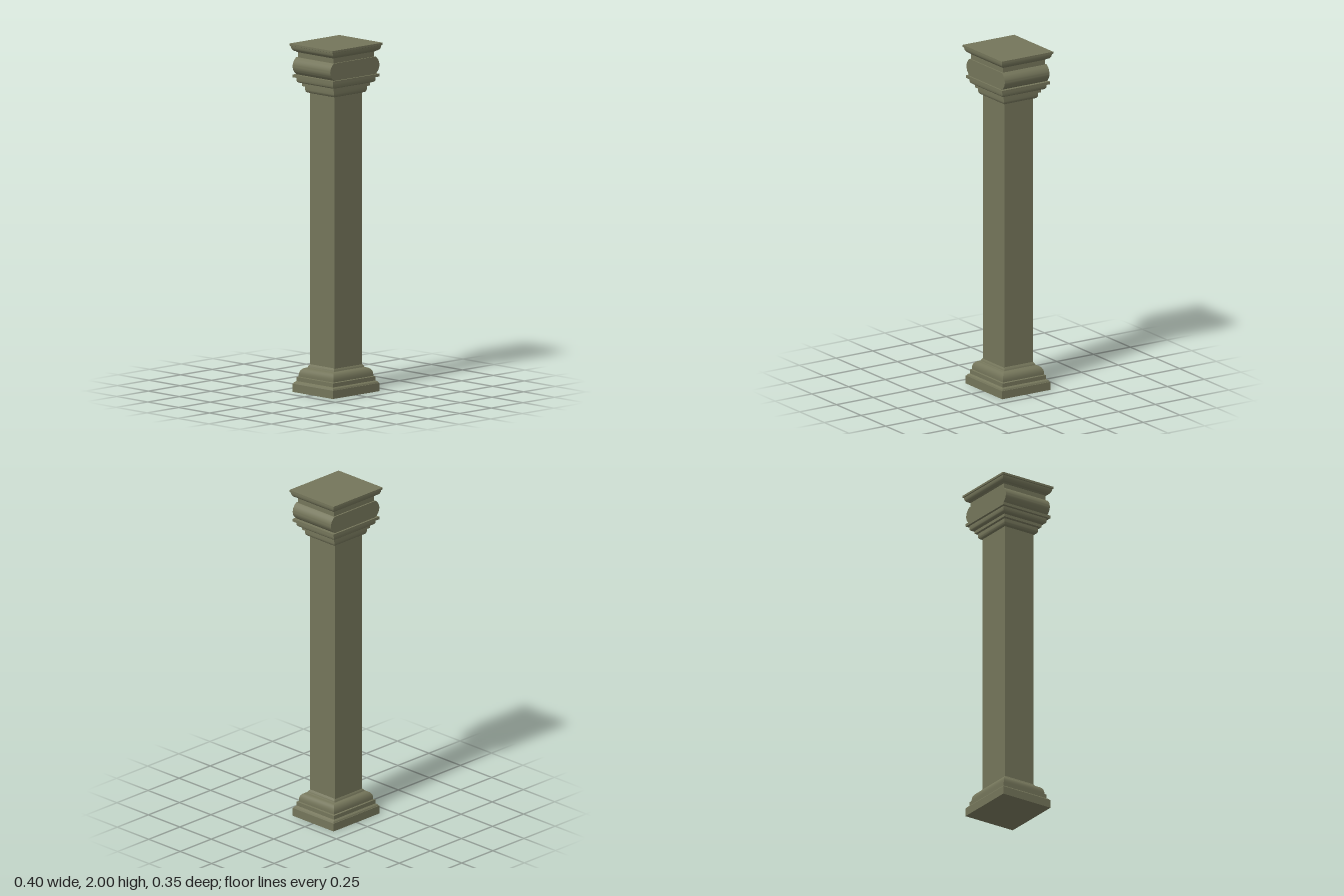
import * as THREE from 'three';
import { toCreasedNormals } from 'three/addons/utils/BufferGeometryUtils.js';

const DEPTH = 0.885; // depth of the mouldings relative to their width

// Rectangular moulding: stacks a rectangle along a profile of [half width, height]
function moulding(profile) {
  const pos = [], idx = [];
  for (const [w, y] of profile) {
    const d = w * DEPTH;
    pos.push(-w, y, d, w, y, d, w, y, -d, -w, y, -d);
  }
  for (let i = 0; i < profile.length - 1; i++) {
    for (let k = 0; k < 4; k++) {
      const a = i * 4 + k, b = i * 4 + (k + 1) % 4;
      idx.push(a, b, b + 4, a, b + 4, a + 4);
    }
  }
  const t = (profile.length - 1) * 4;
  idx.push(0, 2, 1, 0, 3, 2, t, t + 1, t + 2, t, t + 2, t + 3); // end caps
  const g = new THREE.BufferGeometry();
  g.setAttribute('position', new THREE.Float32BufferAttribute(pos, 3));
  g.setIndex(idx);
  return toCreasedNormals(g, 0.5);
}

// Points on a quarter ellipse between two profile points; bulge = convex
function curve([x0, y0], [x1, y1], bulge, n = 6) {
  return Array.from({ length: n + 1 }, (_, i) => {
    const a = (i / n) * Math.PI / 2, s = Math.sin(a), c = 1 - Math.cos(a);
    return bulge ? [x0 + (x1 - x0) * c, y0 + (y1 - y0) * s]
      : [x0 + (x1 - x0) * s, y0 + (y1 - y0) * c];
  });
}

export function createModel() {
  const group = new THREE.Group();
  const material = new THREE.MeshStandardMaterial({ color: 0x74755a });
  const add = (name, geometry) => {
    const mesh = new THREE.Mesh(geometry, material);
    mesh.name = name;
    group.add(mesh);
    return mesh;
  };

  // Stepped base
  add('plinth', moulding([[0.185, 0], [0.185, 0.047]]));
  add('baseMoulding', moulding([
    [0.182, 0.047], [0.178, 0.055], [0.167, 0.062], [0.167, 0.085], [0.158, 0.088],
    ...curve([0.158, 0.098], [0.125, 0.138], true),
    [0.12, 0.14], [0.118, 0.148], [0.109, 0.158],
  ]));

  // Square shaft
  add('shaft', new THREE.BoxGeometry(0.218, 1.58, 0.197)).position.y = 0.94;

  // Stepped mouldings below the capital
  add('neckMoulding', moulding([
    [0.112, 1.715], ...curve([0.117, 1.717], [0.131, 1.735], false, 4),
    [0.131, 1.752], [0.145, 1.755], [0.145, 1.772],
    ...curve([0.153, 1.774], [0.168, 1.79], false, 4), [0.168, 1.806],
  ]));
  add('neckFillet', moulding([[0.184, 1.806], [0.184, 1.822]]));

  // Cushion with rounded sides, running front to back
  const s = new THREE.Shape();
  s.moveTo(-0.16, 1.82);
  s.lineTo(0.16, 1.82);
  s.bezierCurveTo(0.205, 1.845, 0.205, 1.895, 0.165, 1.921);
  s.lineTo(-0.165, 1.921);
  s.bezierCurveTo(-0.205, 1.895, -0.205, 1.845, -0.16, 1.82);
  const cushion = new THREE.ExtrudeGeometry(s, { depth: 0.304, bevelEnabled: false, curveSegments: 16 });
  cushion.translate(0, 0, -0.152);
  add('cushion', toCreasedNormals(cushion, 0.6));

  // Neck and flared top slab
  add('topNeck', moulding([[0.162, 1.92], [0.162, 1.952]]));
  add('topSlab', moulding([
    [0.164, 1.95], [0.169, 1.954],
    ...curve([0.171, 1.956], [0.192, 1.986], false),
    [0.198, 1.988], [0.198, 2],
  ]));

  return group;
}
